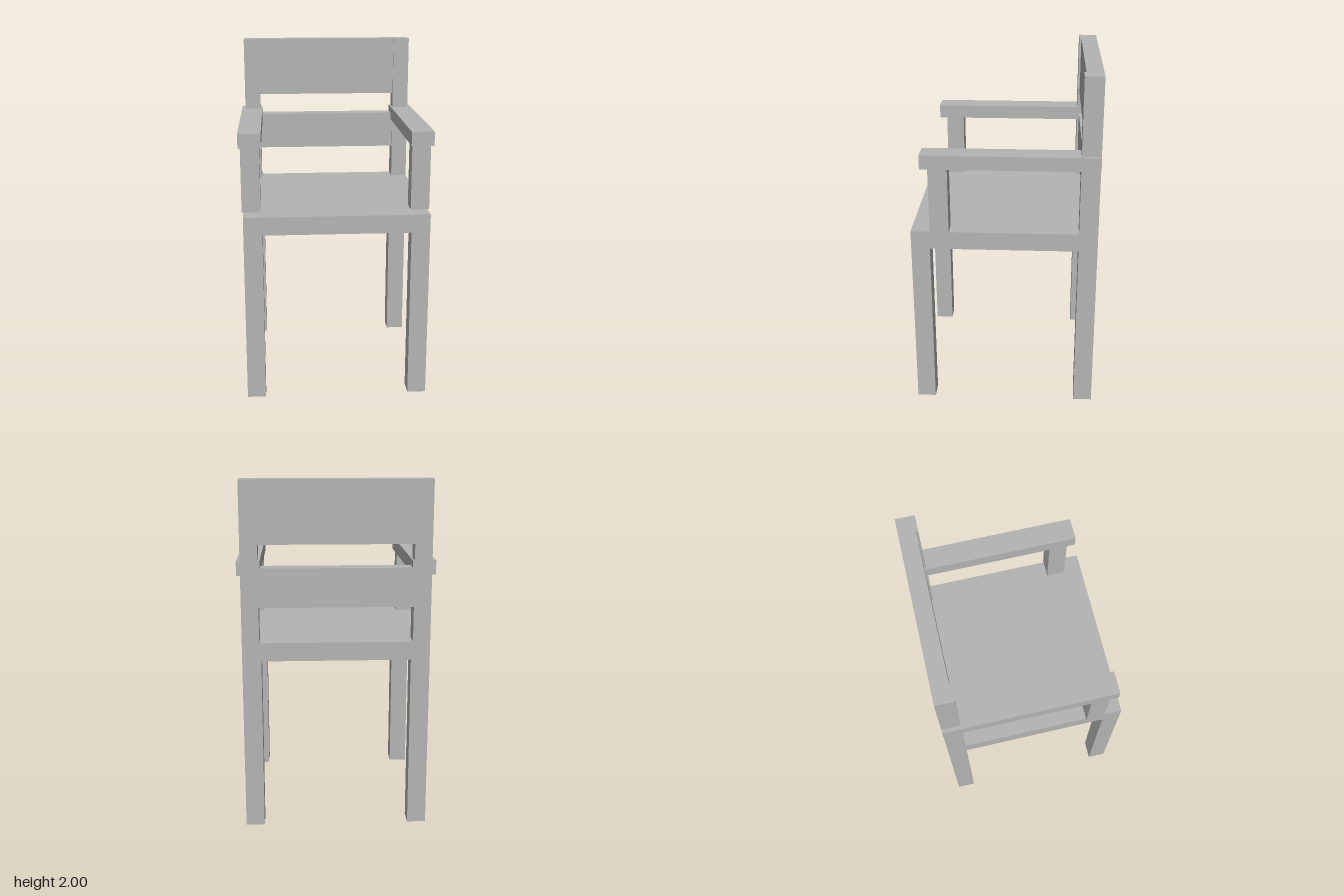
import * as THREE from 'three';

export function createModel() {
  const chair = new THREE.Group();
  chair.name = 'armchair';
  const grey = new THREE.MeshStandardMaterial({ color: 0xb4b4b4 });
  grey.name = 'plain grey';

  // Box given by its extents on each axis
  function block(name, [x0, x1], [y0, y1], [z0, z1]) {
    const mesh = new THREE.Mesh(new THREE.BoxGeometry(x1 - x0, y1 - y0, z1 - z0), grey);
    mesh.position.set((x0 + x1) / 2, (y0 + y1) / 2, (z0 + z1) / 2);
    mesh.name = name;
    chair.add(mesh);
  }

  // The same box on both sides; x is given for the left (+x)
  function pair(name, [x0, x1], y, z) {
    block(name + 'Left', [x0, x1], y, z);
    block(name + 'Right', [-x1, -x0], y, z);
  }

  // Seat and legs
  block('seat', [-0.527, 0.527], [0.995, 1.1], [-0.527, 0.527]);
  pair('frontLeg', [0.42, 0.527], [0, 0.995], [0.42, 0.527]);
  pair('backLeg', [0.42, 0.527], [0, 0.995], [-0.527, -0.42]);

  // Back posts with two slats between them
  pair('backPost', [0.43, 0.527], [1.1, 2], [-0.527, -0.42]);
  block('lowerBackSlat', [-0.43, 0.43], [1.3, 1.52], [-0.527, -0.432]);
  block('upperBackSlat', [-0.43, 0.43], [1.65, 2], [-0.527, -0.432]);

  // Armrests and their supports
  pair('armSupport', [0.43, 0.537], [1.1, 1.48], [0.31, 0.417]);
  pair('armrest', [0.419, 0.548], [1.48, 1.56], [-0.527, 0.46]);

  return chair;
}
